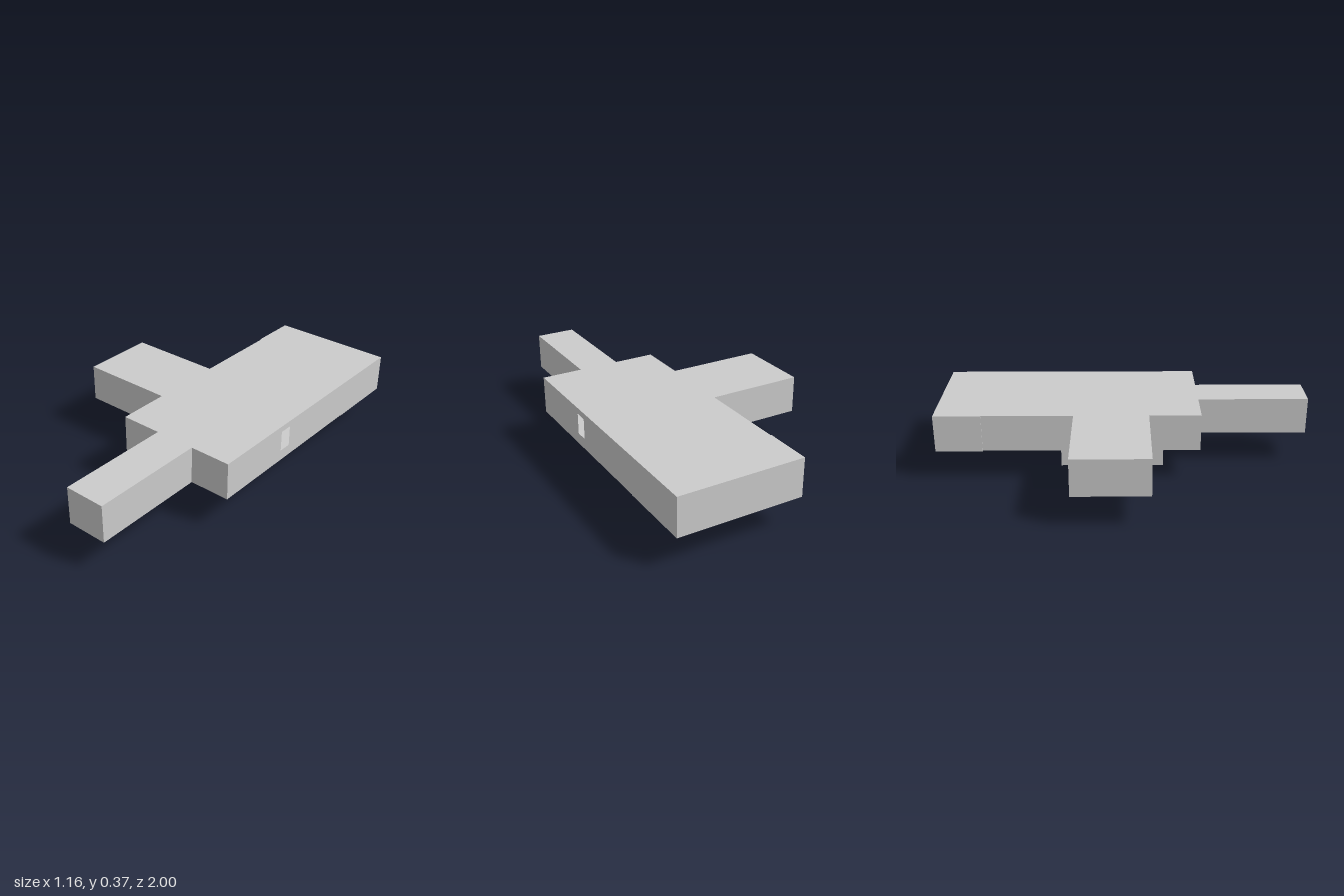
import * as THREE from 'three';

const ROOF = 0.372, FLOOR = 0.22, BASE = 0.173, BACK_BASE = 0.17;

// Plan outline as [x, z] corners
const PLAN = [
  [0.577, -1], [0.577, 0.402], [0.36, 0.402], [0.36, 1], [0.145, 1], [0.145, 0.402],
  [-0.074, 0.402], [-0.074, 0.128], [-0.58, 0.128], [-0.58, -0.268],
  [-0.074, -0.268], [-0.074, -0.75], [-0.079, -0.75], [-0.079, -1],
];

const polygon = (pts) => new THREE.Shape(pts.map(([x, y]) => new THREE.Vector2(x, y)));

export function createModel() {
  const group = new THREE.Group();
  const material = new THREE.MeshStandardMaterial({
    color: 0xcccccc, side: THREE.DoubleSide, flatShading: true,
  });
  const add = (name, geometry) => {
    const mesh = new THREE.Mesh(geometry, material);
    mesh.name = name;
    group.add(mesh);
    return mesh;
  };

  // Roof and recessed floor share the plan
  for (const [name, y] of [['roof', ROOF], ['floor', FLOOR]]) {
    add(name, new THREE.ShapeGeometry(polygon(PLAN)).rotateX(Math.PI / 2)).position.y = y;
  }

  // Thin walls around the plan, hanging a little below the floor
  PLAN.forEach(([x0, z0], i) => {
    const [x1, z1] = PLAN[(i + 1) % PLAN.length];
    const length = Math.hypot(x1 - x0, z1 - z0);
    let outline = [[0, BASE], [length, BASE], [length, ROOF], [0, ROOF]];
    if (i === 0) {
      // The long side wall drops slightly towards the back
      outline = [[0, BACK_BASE], [0.4, BACK_BASE], [0.4, BASE], ...outline.slice(1)];
    } else if (z0 < -0.7 && z1 < -0.7) {
      outline[0][1] = outline[1][1] = BACK_BASE;
    }
    const shape = polygon(outline);
    if (i === 0) {
      // Window opening
      const a = 0.9, b = 0.97;
      shape.holes.push(new THREE.Path(
        [[a, 0.23], [a, 0.34], [b, 0.34], [b, 0.23]].map(([x, y]) => new THREE.Vector2(x, y))));
    }
    const wall = add(i === 0 ? 'windowWall' : 'wall' + i, new THREE.ShapeGeometry(shape));
    wall.position.set(x0, 0, z0);
    wall.rotation.y = -Math.atan2(z1 - z0, x1 - x0);
  });

  // Basement box under the floor
  const top = FLOOR - 0.002;
  add('basement', new THREE.BoxGeometry(0.323, top, 0.563)).position.set(0.2535, top / 2, -0.067);

  return group;
}
